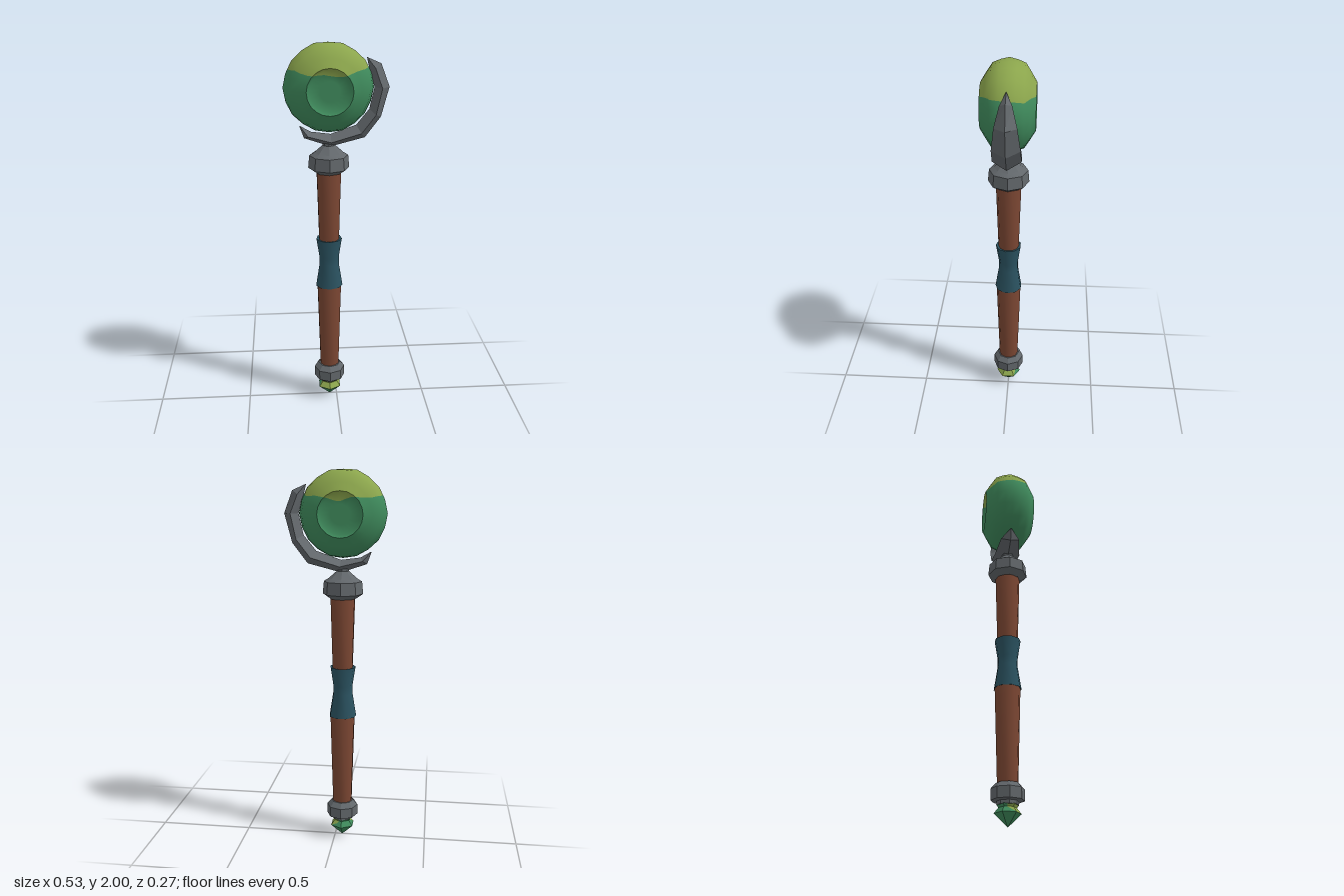
import * as THREE from 'three';
import { toCreasedNormals } from 'three/addons/utils/BufferGeometryUtils.js';

const AXIS = -0.04; // x of the shaft
const ORB_Y = 1.78;

function material(name, color, extra = {}) {
  const m = new THREE.MeshStandardMaterial({ color, ...extra });
  m.name = name;
  return m;
}

// Turned part from [radius, height] pairs, lowest first
function lathe(points, sides) {
  return new THREE.LatheGeometry(points.map(([r, y]) => new THREE.Vector2(r, y)), sides);
}

// Cuts a geometry along f(x, y, z) = 0 and returns the side where sign * f > 0
function cut(geometry, f, sign) {
  const g = geometry.index ? geometry.toNonIndexed() : geometry;
  const p = g.attributes.position, n = g.attributes.normal;
  const pos = [], nor = [];
  for (let t = 0; t < p.count; t += 3) {
    const corners = [0, 1, 2].map((k) => {
      const v = new THREE.Vector3().fromBufferAttribute(p, t + k);
      return { v, n: new THREE.Vector3().fromBufferAttribute(n, t + k), d: sign * f(v.x, v.y, v.z) };
    });
    const poly = [];
    corners.forEach((a, k) => {
      const b = corners[(k + 1) % 3];
      if (a.d >= 0) poly.push(a);
      if (a.d * b.d < 0) {
        const s = a.d / (a.d - b.d);
        poly.push({ v: a.v.clone().lerp(b.v, s), n: a.n.clone().lerp(b.n, s).normalize() });
      }
    });
    for (let k = 1; k + 1 < poly.length; k++) {
      for (const c of [poly[0], poly[k], poly[k + 1]]) {
        pos.push(...c.v.toArray());
        nor.push(...c.n.toArray());
      }
    }
  }
  const out = new THREE.BufferGeometry();
  out.setAttribute('position', new THREE.Float32BufferAttribute(pos, 3));
  out.setAttribute('normal', new THREE.Float32BufferAttribute(nor, 3));
  return out;
}

// Flattened ball with a shallow round recess on both faces
function orbGeometry() {
  const half = [[0.225, 0], [0.216, 0.04], [0.2, 0.08], [0.158, 0.108], [0.115, 0.135], [0.1, 0.118], [0.05, 0.118], [0, 0.118]];
  const profile = [...half.slice(1).reverse().map(([r, z]) => [r, -z]), ...half];
  const g = lathe(profile, 20);
  g.rotateX(Math.PI / 2);
  // slightly uneven rim
  const p = g.attributes.position;
  for (let i = 0; i < p.count; i++) {
    const x = p.getX(i), y = p.getY(i);
    if (Math.hypot(x, y) < 0.15) continue;
    const a = Math.atan2(y, x);
    const k = 1 + 0.012 * Math.sin(7 * a + 1) * Math.cos(3 * a);
    p.setXY(i, x * k, Math.min(y * k, 0.22));
  }
  return toCreasedNormals(g, 0.88);
}

// Curved claw: diamond sections of [inner x, inner y, outer x, outer y, half width]
function clawGeometry() {
  const sections = [
    [0.15, 1.925, 0.152, 1.926, 0.001],
    [0.165, 1.86, 0.222, 1.895, 0.03],
    [0.19, 1.78, 0.265, 1.78, 0.055],
    [0.165, 1.67, 0.225, 1.63, 0.07],
    [0.1, 1.59, 0.145, 1.525, 0.072],
    [-0.03, 1.545, -0.03, 1.48, 0.068],
    [-0.13, 1.558, -0.165, 1.525, 0.05],
    [-0.184, 1.588, -0.187, 1.586, 0.002],
  ];
  const pos = [], index = [];
  for (const [ix, iy, ox, oy, w] of sections) {
    const mx = ix + (ox - ix) * 0.45, my = iy + (oy - iy) * 0.45;
    pos.push(ix, iy, 0, mx, my, w, ox, oy, 0, mx, my, -w);
  }
  for (let s = 0; s + 1 < sections.length; s++) {
    for (let k = 0; k < 4; k++) {
      const a = s * 4 + k, b = s * 4 + ((k + 1) % 4);
      index.push(a, a + 4, b, b, a + 4, b + 4);
    }
  }
  const g = new THREE.BufferGeometry();
  g.setAttribute('position', new THREE.Float32BufferAttribute(pos, 3));
  g.setIndex(index);
  return toCreasedNormals(g, 0.3);
}

export function createModel() {
  const group = new THREE.Group();
  group.name = 'scepter';

  const moss = material('light green', 0x8ba54c);
  const jade = material('dark green', 0x3f8a5c);
  const metal = material('grey metal', 0x62676b, { side: THREE.DoubleSide });
  const wood = material('brown wood', 0x7c4733);
  const cloth = material('teal wrap', 0x2b5361, { side: THREE.DoubleSide });

  const add = (name, geometry, mat, x = AXIS, y = 0) => {
    const mesh = new THREE.Mesh(geometry, mat);
    mesh.name = name;
    mesh.position.set(x, y, 0);
    group.add(mesh);
    return mesh;
  };
  const turned = (name, points, sides, mat, crease = 0.5) =>
    add(name, toCreasedNormals(lathe(points, sides), crease), mat);

  // Orb, light above a wavy line and dark below
  const orb = orbGeometry();
  const line = (x, y, z) => y - 0.07 - 0.13 * Math.abs(x) - 0.008 * Math.sin(38 * x + 20 * z);
  add('orbTop', cut(orb, line, 1), moss, AXIS, ORB_Y);
  add('orbBottom', cut(orb, line, -1), jade, AXIS, ORB_Y);

  // Claw holding the orb
  add('claw', clawGeometry(), metal, 0);

  // Collars
  turned('topCollar', [[0, 1.345], [0.07, 1.345], [0.106, 1.37], [0.1, 1.435], [0.075, 1.45], [0.032, 1.488], [0.032, 1.51]], 8, metal);
  turned('bottomCollar', [[0, 0.11], [0.055, 0.11], [0.055, 0.128], [0.084, 0.132], [0.084, 0.188], [0.06, 0.215], [0, 0.215]], 8, metal);

  // Shaft and grip
  turned('lowerShaft', [[0.052, 0.2], [0.067, 0.72]], 10, wood, 0.8);
  turned('upperShaft', [[0.054, 0.95], [0.066, 1.36]], 10, wood, 0.8);
  turned('gripWrap', [[0.05, 0.712], [0.073, 0.705], [0.053, 0.83], [0.053, 0.875], [0.069, 0.978], [0.045, 0.972]], 9, cloth, 0.8);

  // Pommel gem with light facets on part of its upper band
  const gem = toCreasedNormals(lathe([[0, 0.005], [0.068, 0.07], [0.045, 0.098], [0.055, 0.112]], 6), 0.2);
  const facets = (x, y, z) => Math.min(y - 0.07, 0.5 * x + z + 0.03);
  add('gemFacets', cut(gem, facets, 1), moss);
  add('gem', cut(gem, facets, -1), jade);

  return group;
}
